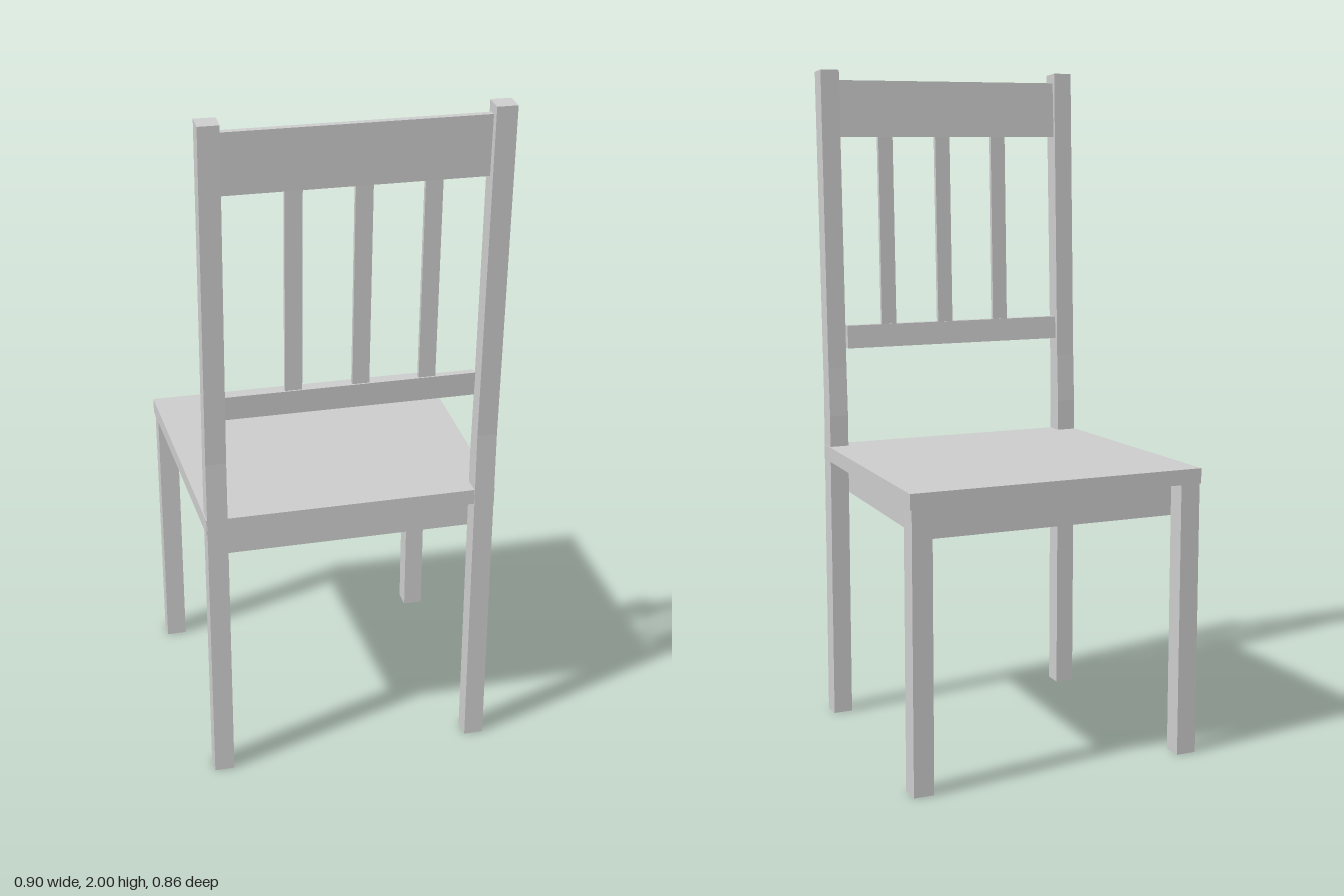
import * as THREE from 'three';

const material = new THREE.MeshStandardMaterial({ color: 0xcccccc, flatShading: true });

function extrude(points, depth) {
  const shape = new THREE.Shape(points.map(([a, b]) => new THREE.Vector2(a, b)));
  return new THREE.ExtrudeGeometry(shape, { depth, bevelEnabled: false });
}

export function createModel() {
  const chair = new THREE.Group();
  chair.name = 'chair';

  function add(name, geometry) {
    const mesh = new THREE.Mesh(geometry, material);
    mesh.name = name;
    chair.add(mesh);
  }

  // Side profile of [z, y] points, extruded from x0 to x1
  function addProfile(name, points, x0, x1) {
    add(name, extrude(points, x1 - x0).rotateY(-Math.PI / 2).translate(x1, 0, 0));
  }

  // Flat slab with a tapered plan: half widths w0 at z0 and w1 at z1
  function addSlab(name, y0, y1, z0, w0, z1, w1) {
    const plan = [[-w0, z0], [w0, z0], [w1, z1], [-w1, z1]];
    add(name, extrude(plan, y1 - y0).rotateX(Math.PI / 2).translate(0, y1, 0));
  }

  // Leaning board: front face runs from z0 at y0 to z1 at y1
  function addBoard(name, x0, x1, y0, y1, z0, z1, thickness) {
    addProfile(name, [[z0, y0], [z0 + thickness, y0], [z1 + thickness, y1], [z1, y1]], x0, x1);
  }

  // Seat board and the solid apron block under it
  addSlab('seat', 0.81, 0.855, -0.43, 0.45, 0.387, 0.421);
  addSlab('apron', 0.71, 0.81, -0.367, 0.388, 0.33, 0.362);

  // Rear posts lean back above the seat
  const post = [[0.333, 0], [0.39, 0], [0.39, 1.03], [0.43, 1.995], [0.374, 2], [0.341, 1.1], [0.333, 0.95]];
  for (const side of [-1, 1]) {
    const name = side > 0 ? 'left' : 'right';
    addProfile(name + 'RearPost', post, side * 0.39 - 0.029, side * 0.39 + 0.029);
    add(name + 'FrontLeg', new THREE.BoxGeometry(0.06, 0.81, 0.06).translate(side * 0.415, 0.405, -0.4));
  }

  // Back rest
  addBoard('topRail', -0.365, 0.362, 1.8, 1.97, 0.376, 0.386, 0.022);
  addBoard('lowerRail', -0.365, 0.35, 1.155, 1.225, 0.353, 0.359, 0.022);
  for (const x of [-0.167, 0.022, 0.211]) {
    addBoard('backSlat', x - 0.024, x + 0.024, 1.22, 1.805, 0.362, 0.381, 0.014);
  }

  return chair;
}
